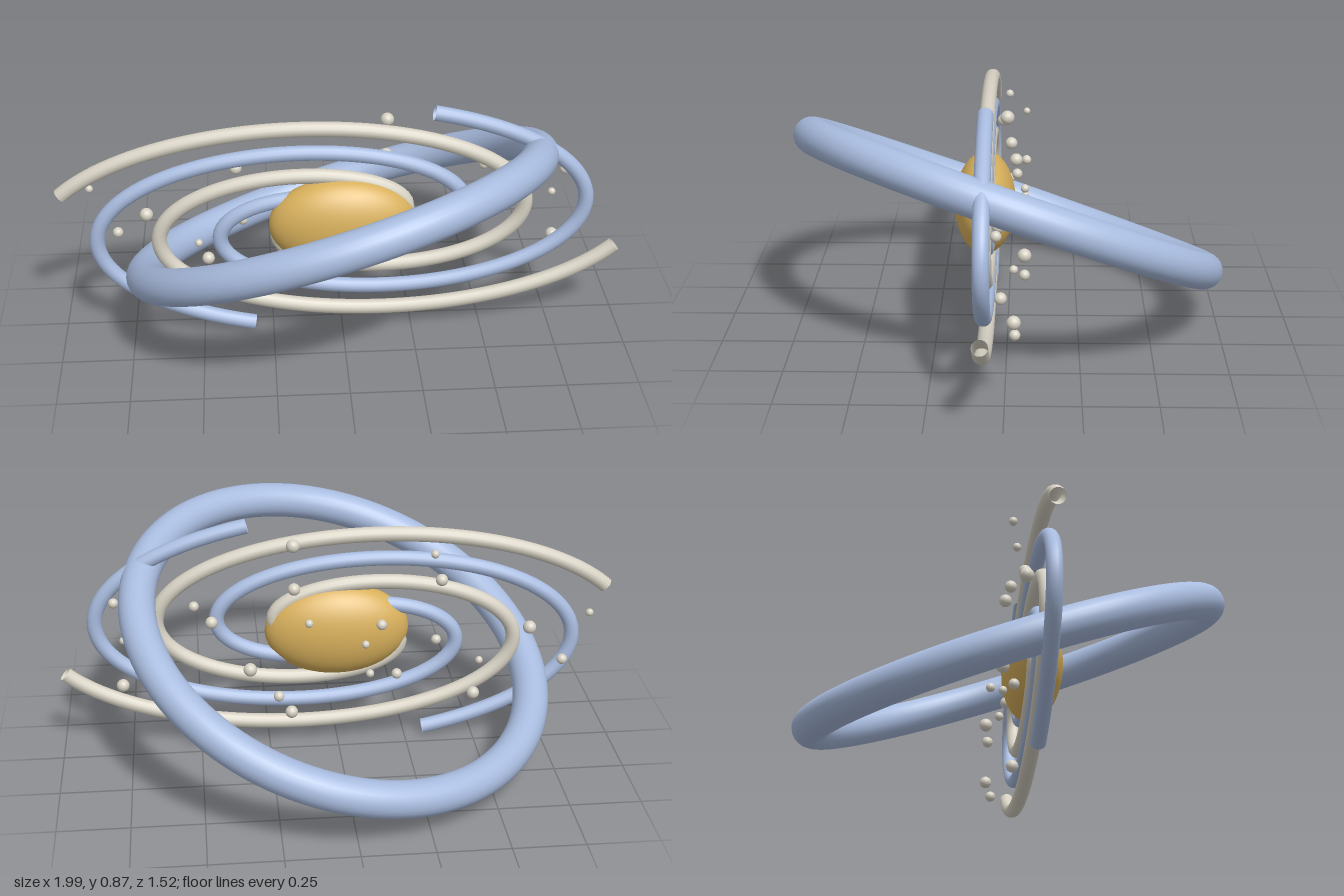
import * as THREE from 'three';

const CENTER_Y = 0.443;
const DISC_Z = 0.07;

// Flattened spiral in the upright disc plane
class SpiralArm extends THREE.Curve {
  constructor(turn) {
    super();
    this.turn = turn;
  }
  getPoint(t, target = new THREE.Vector3()) {
    const phi = -1.4 + 5.8 * t;
    const r = 0.41 + 0.1405 * phi;
    const a = phi + this.turn;
    return target.set(r * Math.cos(a), 0.42 * r * Math.sin(a), 0);
  }
}

export function createModel() {
  const model = new THREE.Group();
  model.name = 'spiralGalaxy';

  const blue = new THREE.MeshStandardMaterial({ color: 0xa9bcdf, side: THREE.DoubleSide });
  blue.name = 'pale blue';
  const cream = new THREE.MeshStandardMaterial({ color: 0xd6d1c3, side: THREE.DoubleSide });
  cream.name = 'cream';
  const gold = new THREE.MeshStandardMaterial({ color: 0xd8b05c });
  gold.name = 'gold';

  const add = (name, geometry, material, x, y, z) => {
    const mesh = new THREE.Mesh(geometry, material);
    mesh.name = name;
    mesh.position.set(x, y, z);
    model.add(mesh);
    return mesh;
  };

  // Central bulge
  const bulge = add('bulge', new THREE.SphereGeometry(1, 48, 32), gold, 0, CENTER_Y, 0.082);
  bulge.scale.set(0.26, 0.172, 0.108);

  // Four arms a quarter turn apart, alternating in colour
  for (let i = 0; i < 4; i++) {
    const geometry = new THREE.TubeGeometry(new SpiralArm(i * Math.PI / 2), 140, 0.027, 14);
    add(i % 2 ? 'creamArm' : 'blueArm', geometry, i % 2 ? cream : blue, 0, CENTER_Y, DISC_Z);
  }

  // Tilted outer ring
  const ring = add('outerRing', new THREE.TorusGeometry(0.734, 0.064, 24, 120), blue, 0, CENTER_Y, 0);
  const axis = new THREE.Vector3(-0.279, 0.9045, -0.322).normalize();
  ring.quaternion.setFromUnitVectors(new THREE.Vector3(0, 0, 1), axis);

  // Scattered stars: x, y, z, radius
  const stars = [
    [-0.89, 0.53, -0.06, 0.014], [-0.8, 0.35, -0.06, 0.019], [-0.69, 0.453, 0, 0.024],
    [-0.51, 0.33, 0, 0.014], [-0.34, 0.75, 0, 0.015], [-0.37, 0.64, 0.025, 0.022],
    [-0.35, 0.42, 0, 0.018], [-0.21, 0.29, 0, 0.019], [-0.48, 0.23, -0.06, 0.023],
    [-0.15, 0.5, -0.03, 0.019], [-0.11, 0.31, -0.03, 0.015], [-0.09, 0.44, -0.06, 0.014],
    [0.11, 0.53, -0.06, 0.015], [0.16, 0.65, -0.03, 0.022], [0.22, 0.25, -0.06, 0.019],
    [0.16, 0.8, 0, 0.024], [0.17, 0.14, 0.025, 0.023], [0.32, 0.36, -0.06, 0.024],
    [0.45, 0.51, 0.025, 0.022], [0.5, 0.145, -0.03, 0.019], [0.51, 0.6, -0.03, 0.018],
    [0.76, 0.48, -0.03, 0.014], [0.77, 0.305, -0.03, 0.023], [0.79, 0.6, 0.025, 0.018],
  ];
  const starGeometry = new THREE.SphereGeometry(1, 16, 12);
  for (const [x, y, z, r] of stars) add('star', starGeometry, cream, x, y, z).scale.setScalar(r);

  return model;
}
